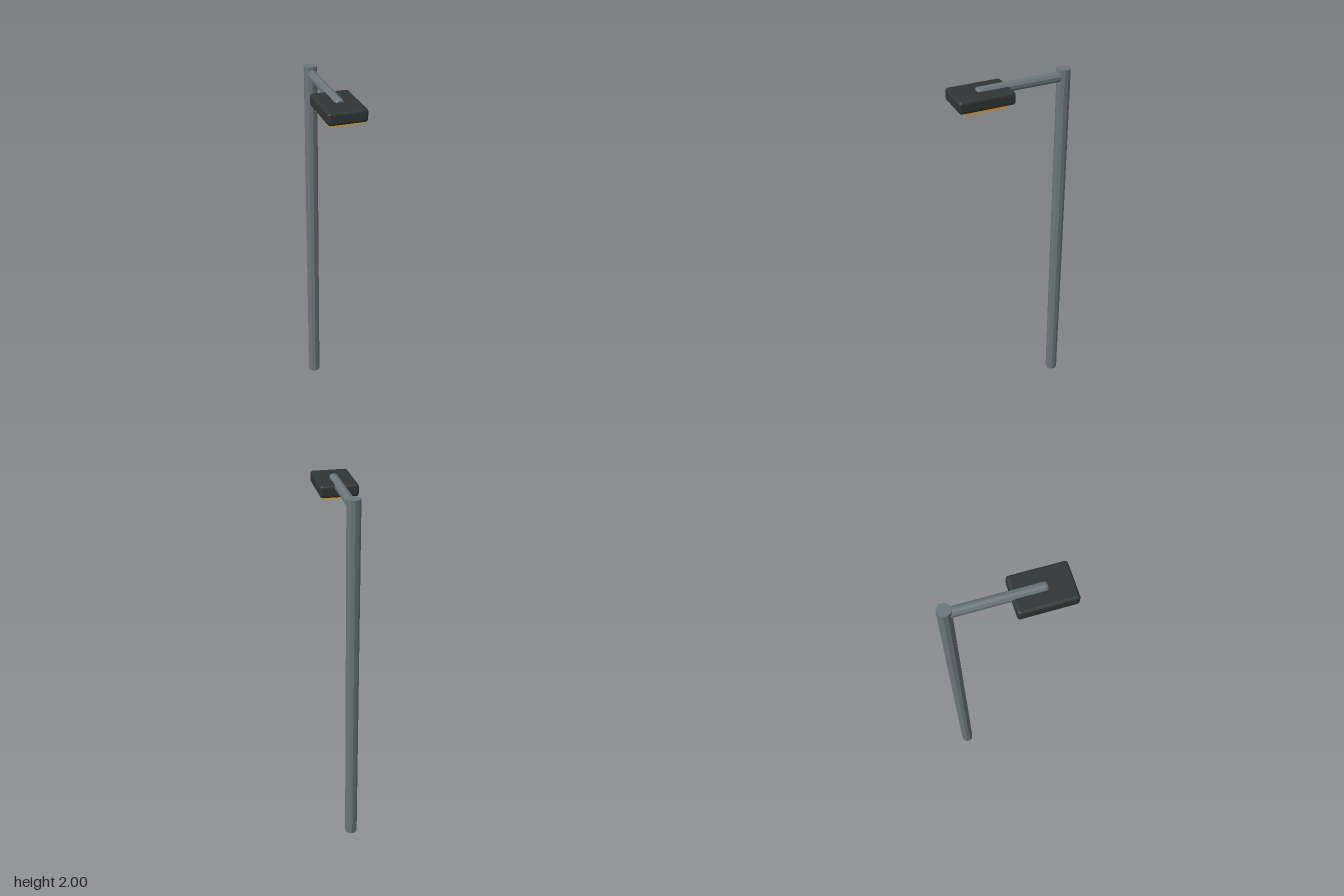
import * as THREE from 'three';
import { RoundedBoxGeometry } from 'three/addons/geometries/RoundedBoxGeometry.js';

export function createModel() {
  const group = new THREE.Group();
  const steel = new THREE.MeshStandardMaterial({ color: 0x6b777b, flatShading: true });
  const dark = new THREE.MeshStandardMaterial({ color: 0x2f3635, flatShading: true });
  const amber = new THREE.MeshStandardMaterial({ color: 0xd9a850, flatShading: true });

  const add = (name, geometry, material, x, y, z) => {
    const mesh = new THREE.Mesh(geometry, material);
    mesh.name = name;
    mesh.position.set(x, y, z);
    group.add(mesh);
    return mesh;
  };

  const poleZ = -0.272;

  // Ten-sided upright pole
  add('pole', new THREE.CylinderGeometry(0.034, 0.034, 2, 10), steel, 0, 1, poleZ);

  // Horizontal arm with a softened tip, reaching over the lamp head
  const armProfile = [
    [0, 0], [0.025, 0], [0.025, 0.443], [0.023, 0.452], [0.018, 0.457], [0, 0.457],
  ].map(([r, y]) => new THREE.Vector2(r, y));
  const arm = add('arm', new THREE.LatheGeometry(armProfile, 10), steel, 0, 1.96, poleZ);
  arm.rotation.x = Math.PI / 2;

  // Lamp housing with bevelled edges
  add('lampHead', new RoundedBoxGeometry(0.194, 0.062, 0.282, 2, 0.014), dark, 0, 1.938, 0.164);

  // Thin light panel under the housing
  add('lightPanel', new THREE.BoxGeometry(0.155, 0.014, 0.217), amber, 0, 1.896, 0.166);

  return group;
}
